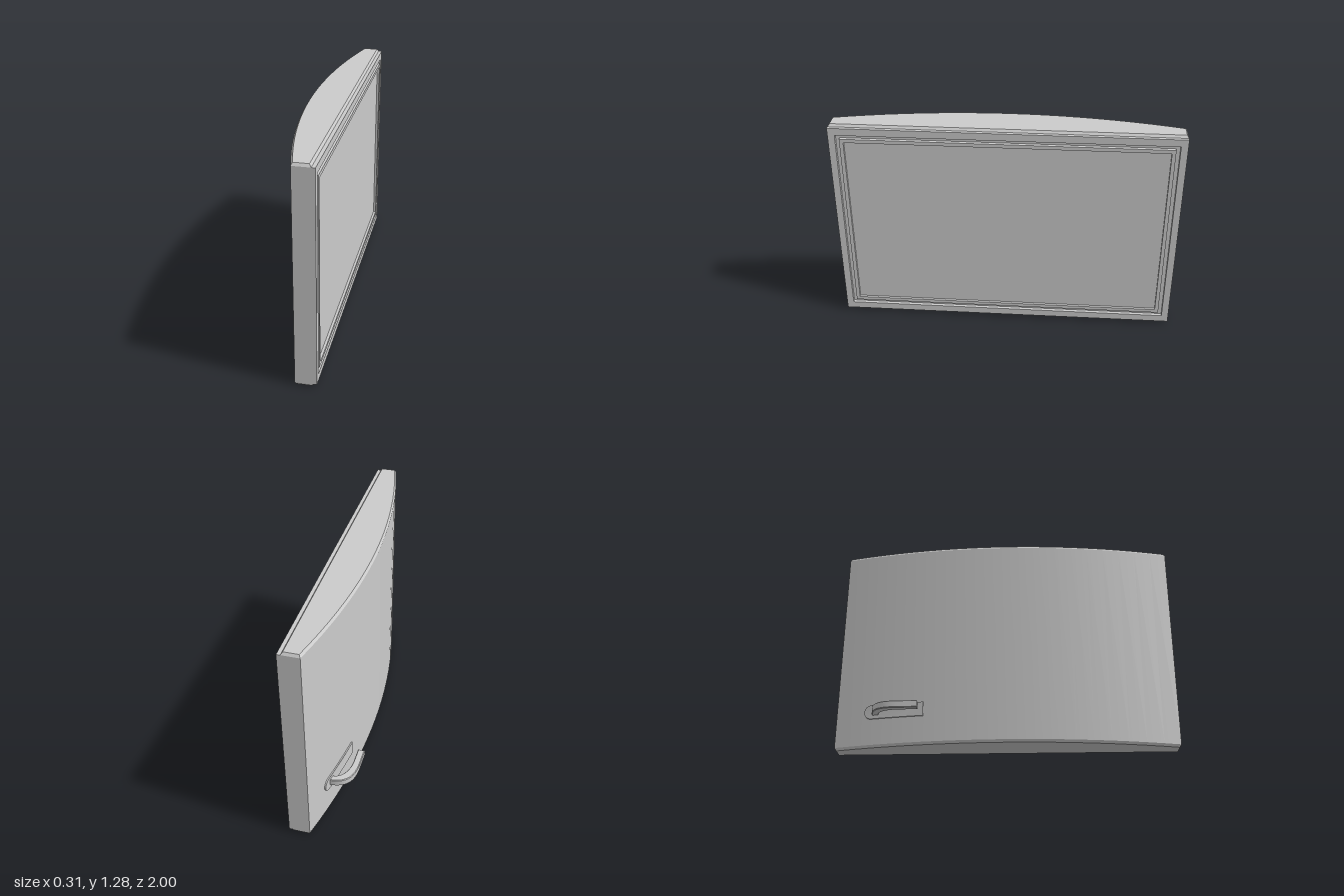
import * as THREE from 'three';
import { toCreasedNormals } from 'three/addons/utils/BufferGeometryUtils.js';

const H = 1.28;          // overall height
const BACK = 0.153;      // flat inner face
const FLOOR = 0.132;     // bottom of the seal groove

// x of the bowed outer face at a given z
const bow = (z) => -0.095 + 0.127 * z * z;

export function createModel() {
  const group = new THREE.Group();
  group.name = 'applianceDoor';
  const material = new THREE.MeshStandardMaterial({ color: 0xcccccc });

  const add = (name, geometry, crease = 0.5) => {
    const mesh = new THREE.Mesh(toCreasedNormals(geometry, crease), material);
    mesh.name = name;
    group.add(mesh);
    return mesh;
  };

  // Rectangle centred on the door, inset from z = 1 by dz, spanning y0..y1
  const rect = (Type, w, y0, y1) => {
    const p = new Type();
    p.moveTo(-w, y0);
    p.lineTo(w, y0);
    p.lineTo(w, y1);
    p.lineTo(-w, y1);
    p.closePath();
    return p;
  };

  // Flat layer on the inner face, from FLOOR out to x
  const layer = (name, outer, x, hole) => {
    const shape = rect(THREE.Shape, ...outer);
    if (hole) shape.holes.push(rect(THREE.Path, ...hole));
    const g = new THREE.ExtrudeGeometry(shape, { depth: x - FLOOR + 0.002, bevelEnabled: false });
    g.rotateY(Math.PI / 2);
    g.translate(FLOOR - 0.002, 0, 0);
    add(name, g);
  };

  // Body: bowed plan extruded upwards with chamfered top and bottom
  const plan = [new THREE.Vector2(FLOOR, -1)];
  plan.push(new THREE.Vector2(FLOOR, 1));
  for (let i = 0; i <= 20; i++) {
    const z = 1 - i / 10;
    plan.push(new THREE.Vector2(bow(z), z));
  }
  const chamfer = 0.015;
  const body = new THREE.ExtrudeGeometry(new THREE.Shape(plan), {
    depth: H - 2 * chamfer,
    bevelThickness: chamfer,
    bevelSize: 0.01,
    bevelOffset: -0.01,
    bevelSegments: 1,
  });
  body.rotateX(-Math.PI / 2);
  body.translate(0, chamfer, 0);
  add('doorBody', body);

  // Inner face: rim, raised seal and recessed liner, with a groove between
  layer('innerRim', [1, 0.018, 1.265], BACK, [0.96, 0.06, 1.222]);
  layer('doorSeal', [0.937, 0.083, 1.2], BACK, [0.915, 0.104, 1.178]);
  layer('innerLiner', [0.916, 0.103, 1.179], 0.138);

  // Handle plate: rounded at one end, bent to follow the bowed face
  const cy = 0.213, r = 0.042, z0 = -0.83 + r, z1 = -0.48;
  const outline = [];
  for (let i = 0; i <= 8; i++) outline.push(new THREE.Vector2(z0 + (z1 - z0) * i / 8, cy - r));
  for (let i = 0; i <= 8; i++) outline.push(new THREE.Vector2(z1 - (z1 - z0) * i / 8, cy + r));
  for (let i = 1; i < 12; i++) {
    const a = Math.PI / 2 + Math.PI * i / 12;
    outline.push(new THREE.Vector2(z0 + r * Math.cos(a), cy + r * Math.sin(a)));
  }
  const plate = new THREE.ExtrudeGeometry(new THREE.Shape(outline), { depth: 0.02, bevelEnabled: false });
  const pos = plate.attributes.position;
  for (let i = 0; i < pos.count; i++) {
    const z = pos.getX(i);
    pos.setXYZ(i, bow(z) + 0.012 - pos.getZ(i), pos.getY(i), z);
  }
  add('handlePlate', plate);

  // Handle: hooked arm, drawn in plan (x, -z) and extruded upwards
  const arm = new THREE.Shape();
  arm.moveTo(0, 0.78);
  arm.lineTo(0, 0.742);
  arm.lineTo(-0.04, 0.742);
  arm.bezierCurveTo(-0.095, 0.73, -0.115, 0.66, -0.115, 0.6);
  arm.lineTo(-0.115, 0.505);
  arm.lineTo(-0.155, 0.505);
  arm.lineTo(-0.155, 0.61);
  arm.bezierCurveTo(-0.155, 0.71, -0.13, 0.775, -0.03, 0.782);
  arm.closePath();
  const handle = new THREE.ExtrudeGeometry(arm, {
    depth: 0.034,
    curveSegments: 12,
    bevelThickness: 0.004,
    bevelSize: 0.004,
    bevelOffset: -0.004,
    bevelSegments: 1,
  });
  handle.rotateX(-Math.PI / 2);
  handle.translate(0, cy - 0.017, 0);
  add('handle', handle);

  return group;
}
